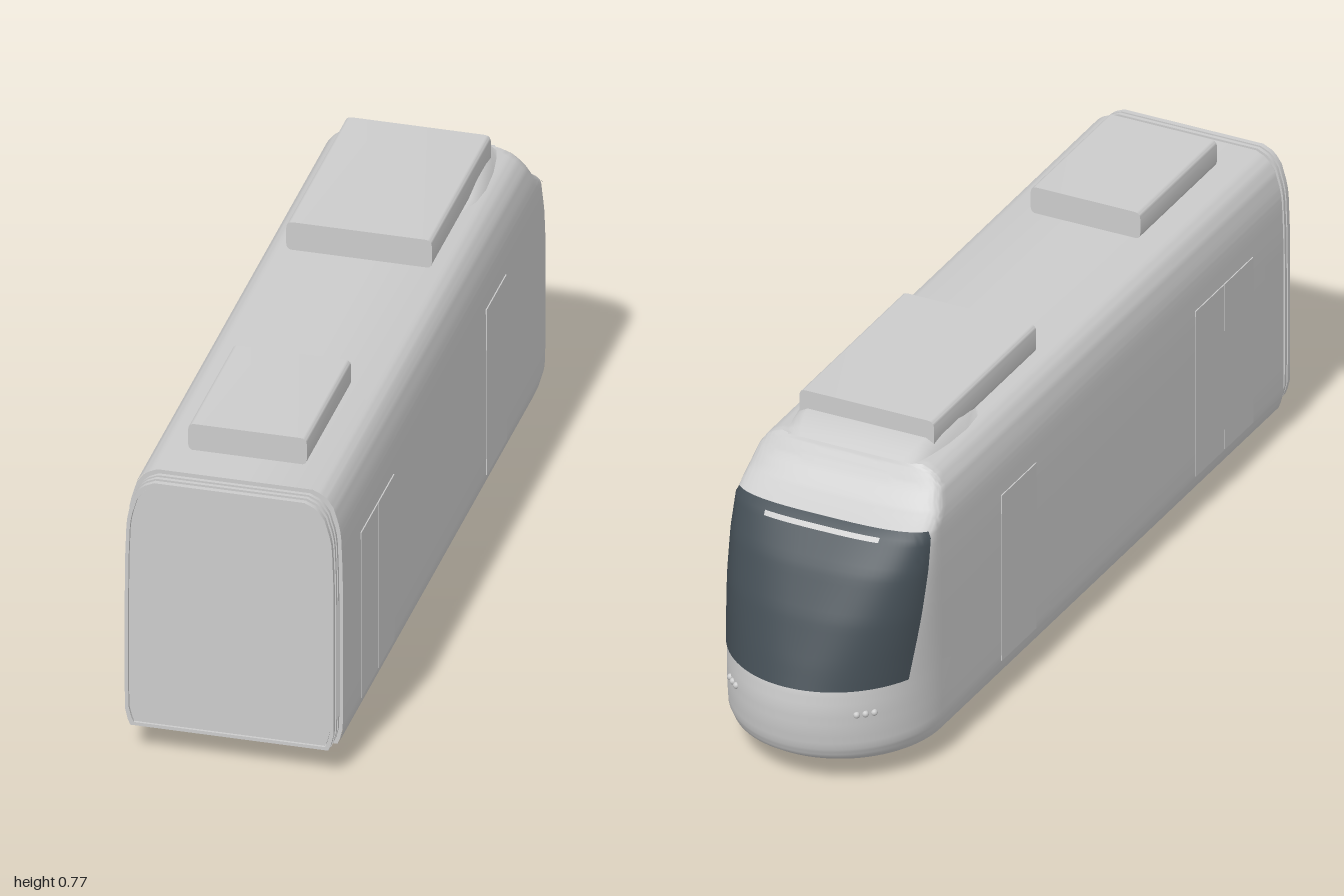
import * as THREE from 'three';
import { toCreasedNormals } from 'three/addons/utils/BufferGeometryUtils.js';

// Shell profile: height, half width, nose tip z, z where the nose begins, plan squareness
const PROFILE = [
  [0.06, 0.237, -0.955, -0.7, 2],
  [0.075, 0.243, -0.978, -0.71, 2],
  [0.1, 0.249, -0.99, -0.72, 2],
  [0.15, 0.25, -0.998, -0.72, 2],
  [0.2, 0.25, -1.0, -0.72, 2],
  [0.25, 0.25, -0.994, -0.72, 2],
  [0.3, 0.25, -0.975, -0.72, 2.1],
  [0.4, 0.25, -0.932, -0.72, 2.4],
  [0.5, 0.249, -0.877, -0.72, 2.7],
  [0.58, 0.246, -0.812, -0.72, 3],
  [0.6, 0.244, -0.775, -0.7, 3.2],
  [0.62, 0.24, -0.742, -0.68, 3.5],
  [0.66, 0.228, -0.705, -0.66, 4],
  [0.68, 0.214, -0.692, -0.65, 4.5],
  [0.69, 0.202, -0.685, -0.65, 5],
  [0.7, 0.18, -0.68, -0.65, 5],
];
const BODY_END = 0.95;

function profileAt(y) {
  let i = 0;
  while (i < PROFILE.length - 2 && y > PROFILE[i + 1][0]) i++;
  const a = PROFILE[i], b = PROFILE[i + 1];
  const k = THREE.MathUtils.clamp((y - a[0]) / (b[0] - a[0]), 0, 1);
  return a.map((v, j) => v + (b[j] - v) * k);
}

// Point on the nose; t runs from 1 (+x side) over 0 (tip) to -1
function nosePoint(y, t, off = 0, widthScale = 1) {
  const [, w, tip, start, n] = profileAt(y);
  const a = t * Math.PI / 2, e = 2 / n;
  const x = (w + off) * widthScale * Math.sign(a) * Math.abs(Math.sin(a)) ** e;
  const z = start - (start - tip + off) * Math.max(0, Math.cos(a)) ** e;
  return [x, y, z];
}

// Surface through rows of points
function gridGeometry(rows, crease = 0.55) {
  const cols = rows[0].length, index = [];
  for (let i = 0; i < rows.length - 1; i++) {
    for (let j = 0; j < cols - 1; j++) {
      const a = i * cols + j, c = a + cols;
      index.push(a, a + 1, c, a + 1, c + 1, c);
    }
  }
  const g = new THREE.BufferGeometry();
  g.setAttribute('position', new THREE.Float32BufferAttribute(rows.flat(2), 3));
  g.setIndex(index);
  return toCreasedNormals(g, crease);
}

// Cross-section of the car, shrunk by an inset
function sectionPoints(inset) {
  const sx = (0.25 - inset) / 0.25, sy = (0.32 - inset) / 0.32;
  const side = PROFILE.map(([y, w]) => [w * sx, 0.38 + (y - 0.38) * sy]);
  const other = side.map(([x, y]) => [-x, y]).reverse();
  return [...side, ...other].map(([x, y]) => new THREE.Vector2(x, y));
}

function sectionPlate(inset, z0, z1, holeInset) {
  const shape = new THREE.Shape(sectionPoints(inset));
  if (holeInset) shape.holes.push(new THREE.Path(sectionPoints(holeInset)));
  const g = new THREE.ExtrudeGeometry(shape, { depth: z1 - z0, bevelEnabled: false });
  return toCreasedNormals(g.translate(0, 0, z0), 0.55);
}

// Box running along z with rounded long edges
function roofUnit(halfWidth, y0, y1, z0, z1, r) {
  const s = new THREE.Shape();
  const w = halfWidth;
  s.moveTo(-w + r, y0).lineTo(w - r, y0).quadraticCurveTo(w, y0, w, y0 + r);
  s.lineTo(w, y1 - r).quadraticCurveTo(w, y1, w - r, y1).lineTo(-w + r, y1);
  s.quadraticCurveTo(-w, y1, -w, y1 - r).lineTo(-w, y0 + r).quadraticCurveTo(-w, y0, -w + r, y0);
  const g = new THREE.ExtrudeGeometry(s, { depth: z1 - z0, bevelEnabled: false, curveSegments: 5 });
  return toCreasedNormals(g.translate(0, 0, z0), 0.6);
}

export function createModel() {
  const group = new THREE.Group();
  const grey = new THREE.MeshStandardMaterial({ color: 0xcccccc });
  grey.name = 'light grey';
  const glass = new THREE.MeshStandardMaterial({ color: 0x434d54 });
  glass.name = 'dark glass';
  const add = (name, geometry, material = grey) => {
    const mesh = new THREE.Mesh(geometry, material);
    mesh.name = name;
    group.add(mesh);
    return mesh;
  };

  // Body shell with floor, sides, roof and rounded nose
  const heights = [];
  PROFILE.forEach(([y], i) => {
    if (i) for (const k of [1 / 3, 2 / 3]) heights.push(THREE.MathUtils.lerp(PROFILE[i - 1][0], y, k));
    heights.push(y);
  });
  const bodyRow = (y, scale = 1) => {
    const row = [];
    for (let j = 0; j <= 44; j++) row.push(nosePoint(y, 1 - j / 22, 0, scale));
    const w = profileAt(y)[1] * scale;
    return [[w, y, BODY_END], ...row, [-w, y, BODY_END]];
  };
  add('bodyShell', gridGeometry([bodyRow(0.06, 0), ...heights.map((y) => bodyRow(y)), bodyRow(0.7, 0)]));
  add('bodyEndWall', sectionPlate(0.001, BODY_END - 0.004, BODY_END));

  // Windscreen wrapped over the nose
  const screenRows = [];
  for (let i = 0; i <= 24; i++) {
    const y = 0.25 + 0.338 * i / 24;
    const [, , tip, start, n] = profileAt(y);
    const edgeZ = THREE.MathUtils.lerp(-0.84, -0.758, i / 24);
    const edge = Math.acos(((start - edgeZ) / (start - tip)) ** (n / 2)) / (Math.PI / 2);
    const row = [];
    for (let j = 0; j <= 36; j++) row.push(nosePoint(y, edge * (1 - j / 18), 0.004));
    screenRows.push(row);
  }
  add('windscreen', gridGeometry(screenRows, 1), glass);

  // Narrow trim strip near the top of the windscreen
  const trimRows = [0.566, 0.576].map((y) => {
    const row = [];
    for (let j = 0; j <= 12; j++) row.push(nosePoint(y, 0.28 * (1 - j / 6), 0.008));
    return row;
  });
  add('windscreenTrim', gridGeometry(trimRows, 1));

  // Headlights in two clusters of three
  for (const side of [-1, 1]) {
    for (const t of [0.41, 0.46, 0.51]) {
      const lamp = add('headlight', new THREE.SphereGeometry(0.008, 12, 8));
      lamp.position.set(...nosePoint(0.19, side * t));
    }
  }

  // Folding gangway at the coupling end
  add('gangwayCore', sectionPlate(0.018, BODY_END, 0.996));
  for (const z of [0.955, 0.972]) add('gangwayRib', sectionPlate(0.008, z, z + 0.009));
  add('gangwayFrame', sectionPlate(0.009, 0.988, 1, 0.017));

  // Door leaves on both sides
  for (const side of [-1, 1]) {
    for (const [z0, z1] of [[0.52, 0.658], [0.662, 0.8], [-0.43, -0.26]]) {
      const door = add('doorLeaf', new THREE.BoxGeometry(0.004, 0.42, z1 - z0));
      door.position.set(side * 0.249, 0.31, (z0 + z1) / 2);
    }
  }

  // Roof equipment
  add('largeRoofUnit', roofUnit(0.168, 0.699, 0.77, -0.6, -0.1, 0.016));
  add('smallRoofUnit', roofUnit(0.137, 0.699, 0.766, 0.47, 0.845, 0.016));

  // Low fairing under the front of the large unit: z, height, half width
  const fairing = [
    [-0.37, 0, 0.165], [-0.42, 0.015, 0.184], [-0.48, 0.025, 0.19],
    [-0.56, 0.028, 0.185], [-0.62, 0.024, 0.175], [-0.66, 0.011, 0.165], [-0.682, 0, 0.155],
  ].map(([z, h, b]) => [[-b, 0], [-b + 0.012, 0.6], [-b + 0.03, 1], [0, 1], [b - 0.03, 1], [b - 0.012, 0.6], [b, 0]]
    .map(([x, k]) => [x, 0.7 + h * k, z]));
  add('roofFairing', gridGeometry(fairing, 0.8));

  // Wheels with inner flanges
  const wheelProfile = [
    [0, -0.013], [0.063, -0.013], [0.07, -0.009], [0.07, -0.006],
    [0.062, -0.001], [0.06, 0.011], [0.055, 0.013], [0, 0.013],
  ].map(([r, y]) => new THREE.Vector2(r, y));
  const wheelGeometry = toCreasedNormals(new THREE.LatheGeometry(wheelProfile, 32), 0.5);
  for (const side of [-1, 1]) {
    for (const z of [0.355, -0.025]) {
      const wheel = add('wheel', wheelGeometry);
      wheel.position.set(side * 0.16, 0.07, z);
      wheel.rotation.z = -side * Math.PI / 2;
    }
  }

  // Bogie plate between the wheels
  add('bogiePlate', new THREE.BoxGeometry(0.29, 0.012, 0.38)).position.set(0, 0.062, 0.165);

  return group;
}
